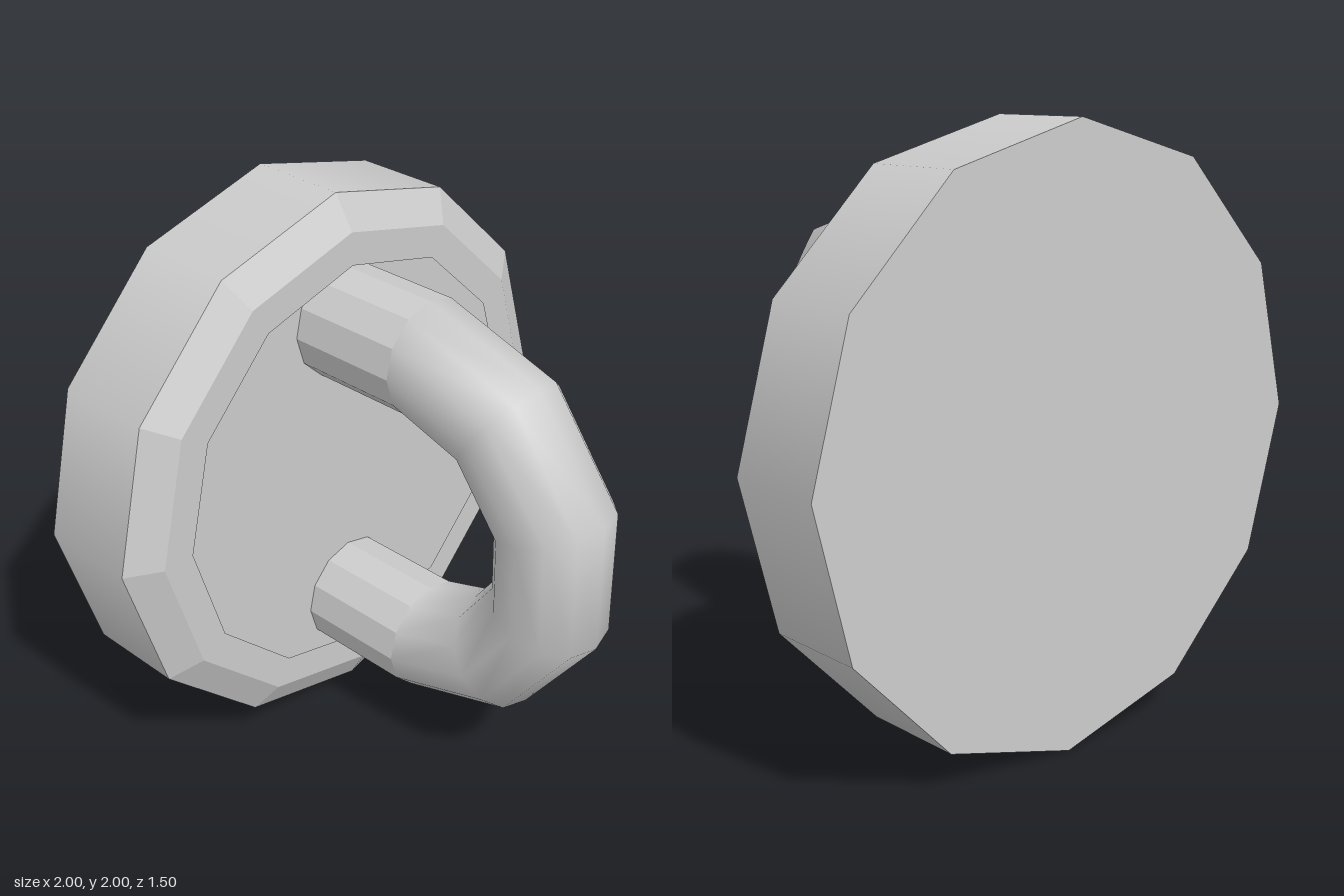
import * as THREE from 'three';

const SIDES = 12;
const BACK = -0.75, RIM = -0.39, FRONT = -0.32;  // depths of the base
const BEND = 0.02;                               // depth where the handle starts to curve
const MID_Y = 0.98, BOW = 0.567, BAR = 0.204;    // handle centre, bow radius, bar radius
const HANDLE_X = 0.003;

export function createModel() {
  const model = new THREE.Group();
  const smooth = new THREE.MeshStandardMaterial({ color: 0xcccccc });
  const flat = new THREE.MeshStandardMaterial({ color: 0xcccccc, flatShading: true });

  const add = (name, geometry, material, x, y, z) => {
    const mesh = new THREE.Mesh(geometry, material);
    mesh.name = name;
    mesh.position.set(x, y, z);
    model.add(mesh);
  };
  // Open prism along z, between two depths
  const prism = (rFront, rBack, z0, z1) =>
    new THREE.CylinderGeometry(rFront, rBack, z1 - z0, SIDES, 1, true)
      .rotateX(Math.PI / 2).translate(0, 0, (z0 + z1) / 2);

  // Twelve-sided base with a bevelled front edge
  add('baseRim', prism(1, 1, BACK, RIM), smooth, 0, 1, 0);
  add('baseBevel', prism(0.882, 1, RIM, FRONT), flat, 0, 1, 0);
  add('baseBack', new THREE.CircleGeometry(1, SIDES).rotateY(Math.PI), flat, 0, 1, BACK);

  // Raised border lip in front of a sunken plate that runs on behind it
  add('frontBorder', new THREE.RingGeometry(0.765, 0.882, SIDES), flat, 0, 1, FRONT);
  add('sunkenPlate', new THREE.CircleGeometry(1, SIDES), flat, 0, 1, RIM);

  // Straight legs of the handle, reaching down to the sunken plate
  for (const [name, side] of [['upperLeg', 1], ['lowerLeg', -1]]) {
    add(name, prism(BAR, BAR, RIM, BEND), flat, HANDLE_X, MID_Y + side * BOW, 0);
  }

  // Half-ring bow joining the legs, turned into the yz plane
  const bow = new THREE.TorusGeometry(BOW, BAR, SIDES, 5, Math.PI);
  bow.applyMatrix4(new THREE.Matrix4().makeBasis(
    new THREE.Vector3(0, 1, 0), new THREE.Vector3(0, 0, 1), new THREE.Vector3(1, 0, 0)));
  add('handleBow', bow, smooth, HANDLE_X, MID_Y, BEND);

  return model;
}
